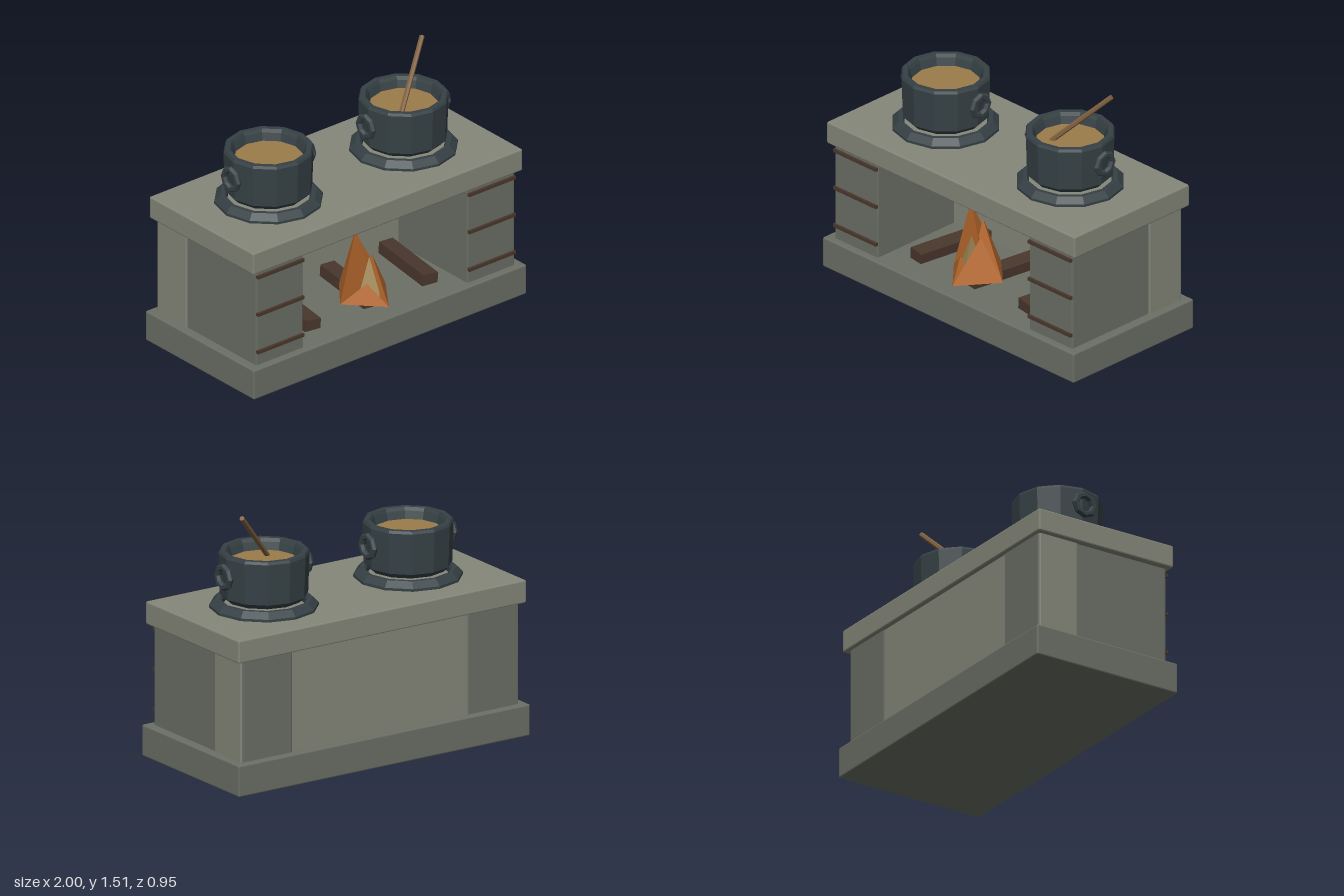
import * as THREE from 'three';
import { RoundedBoxGeometry } from 'three/addons/geometries/RoundedBoxGeometry.js';
import { ConvexGeometry } from 'three/addons/geometries/ConvexGeometry.js';

const paint = (color, side = THREE.FrontSide) =>
  new THREE.MeshStandardMaterial({ color, flatShading: true, side });

const stone = paint(0x85877a);
const darkStone = paint(0x6b6f65);
const iron = paint(0x364145, THREE.DoubleSide);
const wood = paint(0x4a372d);
const spoonWood = paint(0x80603f);
const soupMat = paint(0x9c7d4a);
const fire = paint(0xb5672c);
const paleFire = paint(0xa58d5e);

function add(parent, name, geometry, material, x = 0, y = 0, z = 0) {
  const mesh = new THREE.Mesh(geometry, material);
  mesh.name = name;
  mesh.position.set(x, y, z);
  parent.add(mesh);
  return mesh;
}

// Slightly bevelled block given by its limits on each axis
function block(parent, name, material, [x0, x1], [y0, y1], [z0, z1]) {
  const geometry = new RoundedBoxGeometry(x1 - x0, y1 - y0, z1 - z0, 1, 0.008);
  return add(parent, name, geometry, material, (x0 + x1) / 2, (y0 + y1) / 2, (z0 + z1) / 2);
}

function lathe(points) {
  return new THREE.LatheGeometry(points.map(([r, y]) => new THREE.Vector2(r, y)), 12);
}

function makePot() {
  const pot = new THREE.Group();
  pot.name = 'pot';
  // Burner ring lying on the counter
  add(pot, 'burnerRing', lathe([
    [0.24, 0.915], [0.31, 0.915], [0.31, 0.93], [0.275, 0.965], [0.25, 0.965], [0.24, 0.95], [0.24, 0.915],
  ]), iron);
  // Hollow pot body
  add(pot, 'potBody', lathe([
    [0, 0.965], [0.22, 0.965], [0.25, 0.995], [0.258, 1.235], [0.25, 1.25],
    [0.22, 1.25], [0.21, 1.23], [0.185, 1.15],
  ]), iron);
  add(pot, 'soup', new THREE.CylinderGeometry(0.197, 0.185, 0.03, 12), soupMat, 0, 1.17, 0);
  // Ring handles on both sides
  for (const side of [-1, 1]) {
    const handle = add(pot, 'potHandle', new THREE.TorusGeometry(0.06, 0.02, 6, 8), iron, side * 0.275, 1.135, 0);
    handle.rotation.y = Math.PI / 2;
  }
  return pot;
}

function makeFlame() {
  const flame = new THREE.Group();
  flame.name = 'flame';
  const floor = 0.24;
  // Each tongue: material, apex, then three base corners (x, z)
  const tongues = [
    [fire, [-0.055, 0.68, 0.24], [-0.18, 0.25], [0.08, 0.25], [-0.02, 0.05]],
    [fire, [0, 0.58, 0.2], [0.18, 0.22], [0, 0.3], [0, 0.05]],
    [fire, [0.045, 0.49, 0.26], [0.01, 0.45], [0.18, 0.22], [0, 0.2]],
    [fire, [-0.05, 0.36, 0.33], [-0.18, 0.25], [0.01, 0.45], [0, 0.2]],
    [paleFire, [0, 0.5, 0.29], [-0.1, 0.3], [0.02, 0.38], [0.02, 0.2]],
  ];
  for (const [material, apex, ...base] of tongues) {
    const points = [new THREE.Vector3(...apex), ...base.map(([x, z]) => new THREE.Vector3(x, floor, z))];
    add(flame, 'flameTongue', new ConvexGeometry(points), material);
  }
  return flame;
}

export function createModel() {
  const model = new THREE.Group();
  model.name = 'stove';

  // Stone body
  block(model, 'base', darkStone, [-1, 1], [0, 0.185], [-0.475, 0.475]);
  block(model, 'countertop', stone, [-0.988, 0.988], [0.78, 0.915], [-0.455, 0.455]);
  block(model, 'backWall', stone, [-0.955, 0.955], [0.175, 0.79], [-0.427, -0.17]);

  // Side cabinets with wooden strips on the front
  for (const side of [-1, 1]) {
    const x = side * 0.775;
    block(model, 'cabinet', darkStone, [x - 0.172, x + 0.172], [0.175, 0.79], [-0.432, 0.432]);
    for (const y of [0.27, 0.508, 0.745]) {
      add(model, 'woodStrip', new THREE.BoxGeometry(0.34, 0.02, 0.03), wood, x, y, 0.432);
    }
  }

  // Firewood
  for (const x of [-0.39, 0.04, 0.47]) {
    const log = add(model, 'log', new THREE.BoxGeometry(0.1, 0.1, 0.5), wood, x, 0.2, 0.06);
    log.rotation.set(0, -0.15, -0.08);
  }
  model.add(makeFlame());

  // Two pots
  for (const side of [-1, 1]) {
    const pot = makePot();
    pot.position.x = side * 0.495;
    model.add(pot);
  }

  // Stirring stick leaning in the left pot
  const from = new THREE.Vector3(0.405, 1.165, 0.08);
  const to = new THREE.Vector3(0.72, 1.5, -0.105);
  const axis = to.clone().sub(from);
  const stick = add(model, 'stirringStick', new THREE.CylinderGeometry(0.015, 0.015, axis.length(), 6), spoonWood);
  stick.position.copy(from).add(to).multiplyScalar(0.5);
  stick.quaternion.setFromUnitVectors(new THREE.Vector3(0, 1, 0), axis.normalize());

  return model;
}
